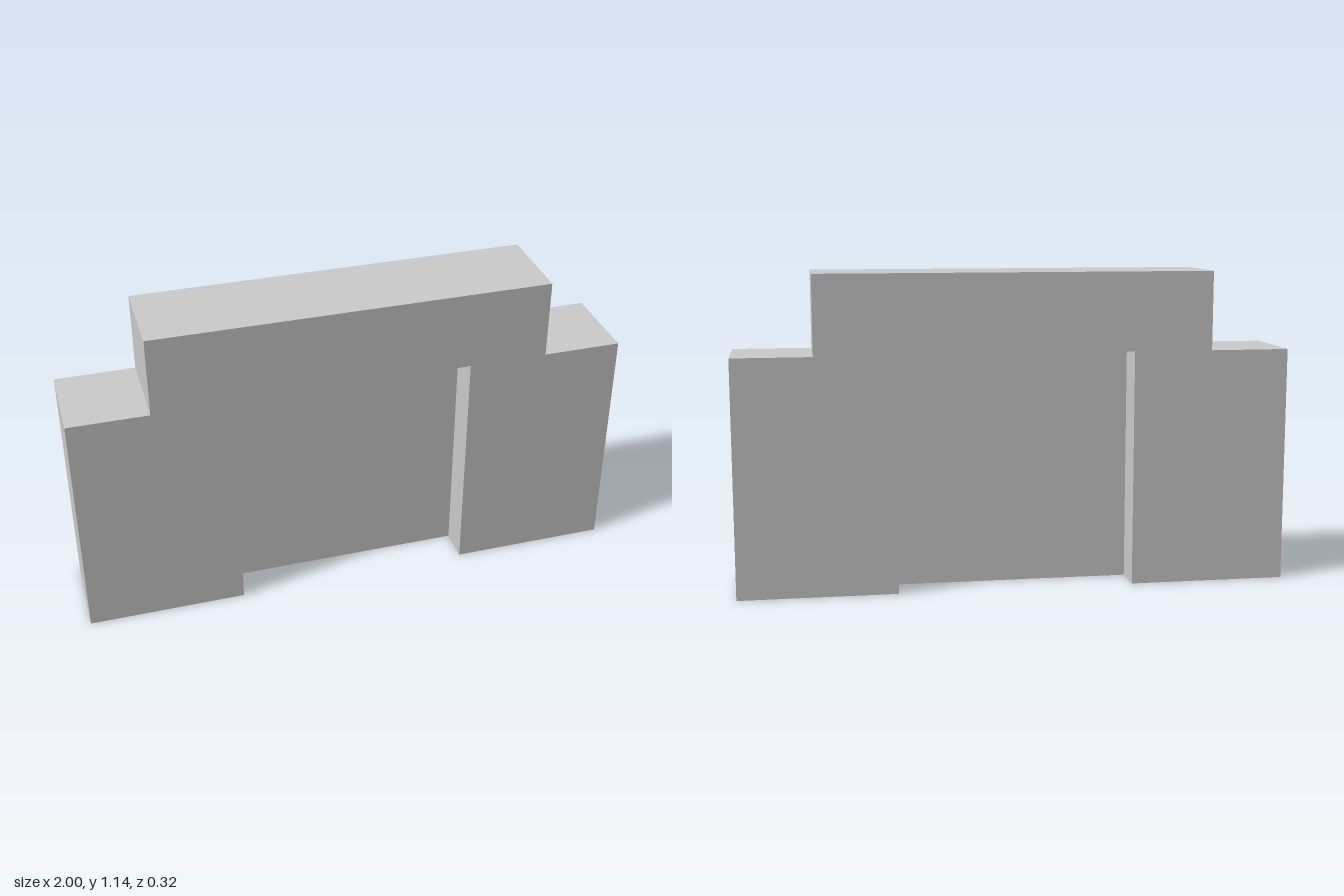
import * as THREE from 'three';

const U = 1 / 7; // layout module
const DEPTH = 0.32;
const PANEL_DEPTH = 0.073;

export function createModel() {
  const group = new THREE.Group();
  group.name = 'gateway';
  const material = new THREE.MeshStandardMaterial({ color: 0xcccccc, flatShading: true });

  // Stepped wall with a doorway cut up from the ground
  const outline = [
    [-7, 0], [-3, 0], [-3, 6], [3, 6], [3, 0], [7, 0],
    [7, 6], [5, 6], [5, 8], [-5, 8], [-5, 6], [-7, 6],
  ].map(([x, y]) => new THREE.Vector2(x * U, y * U));
  const wallGeometry = new THREE.ExtrudeGeometry(new THREE.Shape(outline), {
    depth: DEPTH,
    bevelEnabled: false,
  });
  wallGeometry.translate(0, 0, -DEPTH / 2);
  const wall = new THREE.Mesh(wallGeometry, material);
  wall.name = 'steppedWall';

  // Thin door panel, recessed equally from front and back
  const door = new THREE.Mesh(new THREE.BoxGeometry(6 * U, 6 * U, PANEL_DEPTH), material);
  door.name = 'doorPanel';
  door.position.y = 3 * U;

  group.add(wall, door);
  return group;
}
